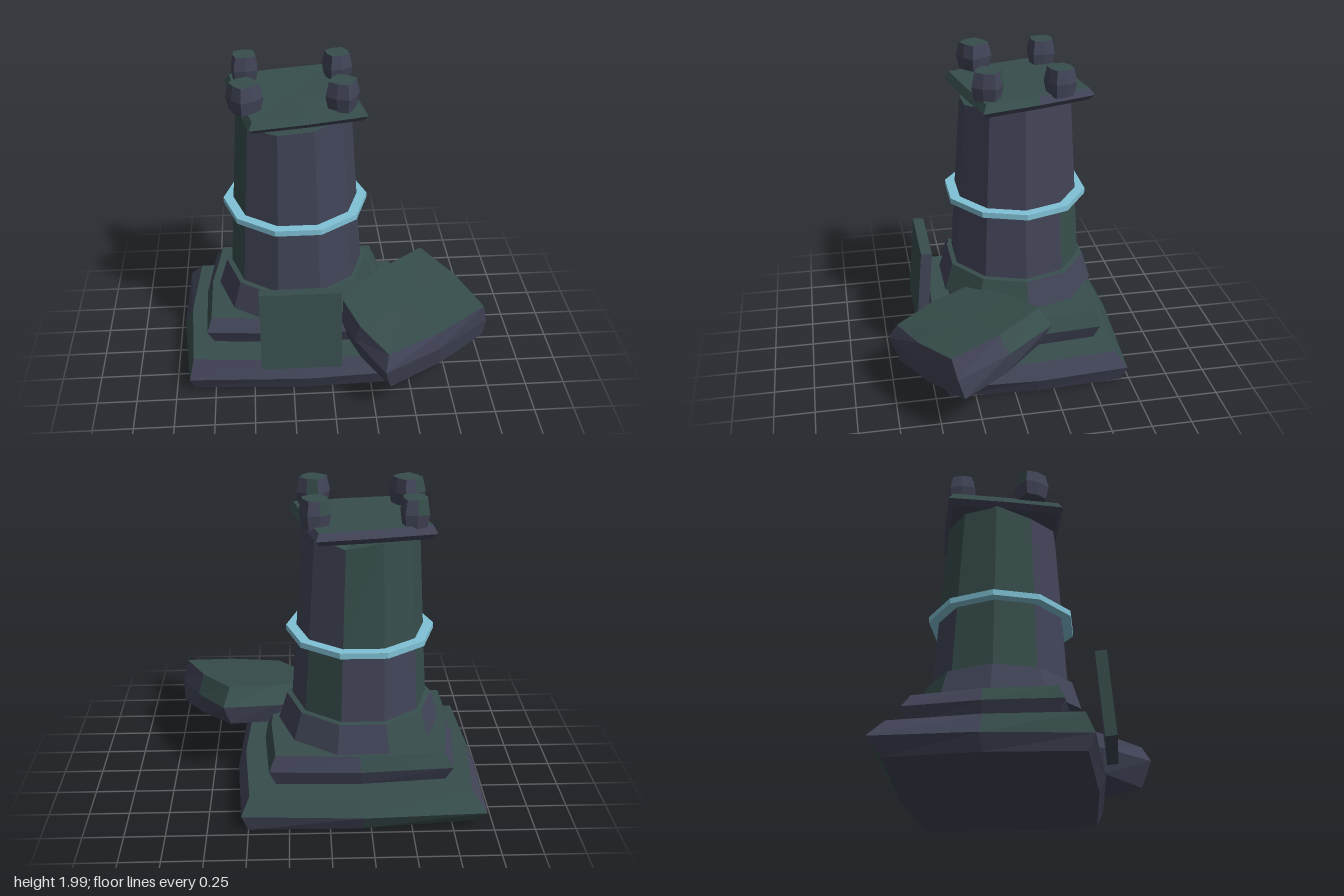
import * as THREE from 'three';

const mat = (name, color) => {
  const m = new THREE.MeshStandardMaterial({ color });
  m.name = name;
  return m;
};

export function createModel() {
  const stone = mat('slate stone', 0x414457);
  const moss = mat('mossy stone', 0x374e4c);
  const glow = mat('pale blue', 0x80c2d6);
  const model = new THREE.Group();

  // Skins a stack of rings (bottom to top). isMoss(band, segment) picks the colour;
  // band -1 is the bottom cap and band rings.length - 1 the top cap.
  function loft(name, rings, isMoss) {
    const tris = [[], []];
    const put = (m, ...pts) => pts.forEach((p) => tris[m ? 1 : 0].push(p.x, p.y, p.z));
    const n = rings[0].length, last = rings.length - 1;
    const centre = (r) => r.reduce((s, p) => s.add(p), new THREE.Vector3()).divideScalar(n);
    const lowC = centre(rings[0]), topC = centre(rings[last]);
    for (let i = 0; i < n; i++) {
      const j = (i + 1) % n;
      for (let k = 0; k < last; k++) {
        const lo = rings[k], hi = rings[k + 1], m = isMoss(k, i);
        put(m, lo[i], hi[i], lo[j], lo[j], hi[i], hi[j]);
      }
      put(isMoss(-1, i), lowC, rings[0][i], rings[0][j]);
      put(isMoss(last, i), topC, rings[last][j], rings[last][i]);
    }
    const g = new THREE.BufferGeometry();
    g.setAttribute('position', new THREE.Float32BufferAttribute([...tris[0], ...tris[1]], 3));
    g.addGroup(0, tris[0].length / 3, 0);
    g.addGroup(tris[0].length / 3, tris[1].length / 3, 1);
    g.computeVertexNormals();
    const mesh = new THREE.Mesh(g, [stone, moss]);
    mesh.name = name;
    model.add(mesh);
    return mesh;
  }

  // Four corners (back right, front right, front left, back left) plus bulging edge midpoints
  function ring4(corners, bulge) {
    const c = corners.map((p) => new THREE.Vector3(...p));
    const mid = c.reduce((s, p) => s.add(p), new THREE.Vector3()).divideScalar(4);
    return c.flatMap((p, i) => {
      const h = p.clone().add(c[(i + 1) % 4]).multiplyScalar(0.5);
      const out = h.clone().sub(mid).setY(0).normalize().multiplyScalar(bulge);
      return [p, h.add(out)];
    });
  }

  // Ten-sided ring around the tower axis
  const CX = -0.2, CZ = -0.125;
  const ring10 = (r, y) => Array.from({ length: 10 }, (_, i) => {
    const a = (i * Math.PI) / 5;
    return new THREE.Vector3(CX + r * Math.cos(a), typeof y === 'function' ? y(i) : y, CZ + r * Math.sin(a));
  });

  // Foundation slab
  loft('foundationSlab', [
    ring4([[0.50, 0, -0.70], [0.49, 0, 0.41], [-0.89, 0.02, 0.41], [-0.89, 0.02, -0.67]], 0.035),
    ring4([[0.54, 0.11, -0.725], [0.55, 0.11, 0.45], [-0.91, 0.11, 0.45], [-0.95, 0.12, -0.745]], 0.035),
    ring4([[0.49, 0.215, -0.66], [0.50, 0.215, 0.40], [-0.88, 0.24, 0.40], [-0.865, 0.235, -0.665]], 0.035),
  ], (k, i) => k === 2 || (k === 1 && [4, 6, 7].includes(i)) || (k === 0 && i === 6));

  // Second step
  loft('upperSlab', [
    ring4([[0.33, 0.23, -0.55], [0.33, 0.23, 0.25], [-0.75, 0.26, 0.25], [-0.71, 0.26, -0.57]], 0.03),
    ring4([[0.37, 0.33, -0.58], [0.37, 0.33, 0.29], [-0.79, 0.36, 0.29], [-0.75, 0.36, -0.61]], 0.03),
    ring4([[0.33, 0.43, -0.55], [0.33, 0.43, 0.25], [-0.76, 0.445, 0.25], [-0.70, 0.445, -0.57]], 0.03),
  ], (k, i) => k === 2 || (k === 1 && [0, 1, 4, 6].includes(i)));

  // Flared foot of the tower
  loft('flaredCollar', [ring10(0.43, 0.42), ring10(0.51, 0.465), ring10(0.455, 0.64), ring10(0.41, 0.645)],
    (k, i) => k >= 2 || (k === 1 && [0, 1, 6].includes(i)));

  // Tapered tower with an uneven top
  const topY = (i) => [1.745, 1.74, 1.72, 1.70, 1.69, 1.755, 1.75, 1.75, 1.71, 1.745][i];
  loft('towerShaft', [ring10(0.425, 0.6), ring10(0.392, 1.1), ring10(0.35, topY)], (k, i) =>
    k === 2 || (k === 0 && [4, 5, 8].includes(i)) || (k === 1 && i >= 4 && i <= 7));

  // Pale band around the tower
  const outline = (r) => ring10(r, 0).map((p) => new THREE.Vector2(p.x, -p.z));
  const bandShape = new THREE.Shape(outline(0.455));
  bandShape.holes.push(new THREE.Path(outline(0.385)));
  const band = new THREE.Mesh(
    new THREE.ExtrudeGeometry(bandShape, { depth: 0.036, bevelEnabled: false }).rotateX(-Math.PI / 2), glow);
  band.position.y = 1.077;
  band.name = 'glowingBand';
  model.add(band);

  // Roof slab, turned and slightly warped
  const roof = [[0.08, -0.56], [0.23, 0.14], [-0.47, 0.28], [-0.62, -0.41]];
  const roofRing = (s, y) => ring4(roof.map(([x, z], i) =>
    [CX + (x - CX) * s, y[i], -0.14 + (z + 0.14) * s]), 0.008);
  loft('roofSlab', [
    roofRing(0.92, [1.76, 1.74, 1.74, 1.75]),
    roofRing(1, [1.795, 1.775, 1.77, 1.785]),
    roofRing(0.93, [1.835, 1.825, 1.815, 1.835]),
  ], (k, i) => k === 2 || (k === 1 && [1, 2, 3, 4, 5].includes(i)));

  // Corner stones on the roof: x, z, half width, turn, top height
  [[-0.49, -0.35, 0.068, 0.1, 1.985], [0.08, -0.345, 0.068, 0.35, 1.985],
    [-0.49, 0.085, 0.076, 0.6, 1.985], [0.08, 0.09, 0.072, -0.5, 1.99]].forEach(([x, z, w, turn, top]) => {
    const block = (s, y) => ring4([[1, -1], [1, 1], [-1, 1], [-1, -1]].map(([a, b]) => [a * w * s, y, b * w * s]), 0.012);
    const stoneBlock = loft('roofCornerStone',
      [block(0.88, 1.815), block(1.05, 1.9), block(0.85, top)],
      (k, i) => k === 2 || (k === 1 && i === 6));
    stoneBlock.rotation.y = turn;
    stoneBlock.position.set(x, 0, z);
  });

  // Leaning door panel: mossy face, top and one side
  const panel = new THREE.Mesh(new THREE.BoxGeometry(0.5, 0.53, 0.07), [stone, moss, moss, stone, moss, stone]);
  panel.rotation.x = -0.08;
  panel.position.set(-0.2, 0.525, 0.505);
  panel.name = 'doorPanel';
  model.add(panel);

  // Fallen block resting on the steps
  loft('fallenBlock', [
    ring4([[0.62, 0.42, -0.13], [0.965, 0.33, 0.38], [0.34, 0.2, 0.70], [0.07, 0.3, 0.2]], 0.03),
    ring4([[0.66, 0.57, -0.19], [0.97, 0.47, 0.42], [0.30, 0.36, 0.765], [0.02, 0.44, 0.15]], 0.03),
    ring4([[0.62, 0.68, -0.12], [0.94, 0.60, 0.45], [0.32, 0.46, 0.71], [0.07, 0.545, 0.22]], 0.03),
  ], (k, i) => k === 2 || (k === 1 && [0, 6, 7].includes(i)));

  return model;
}
